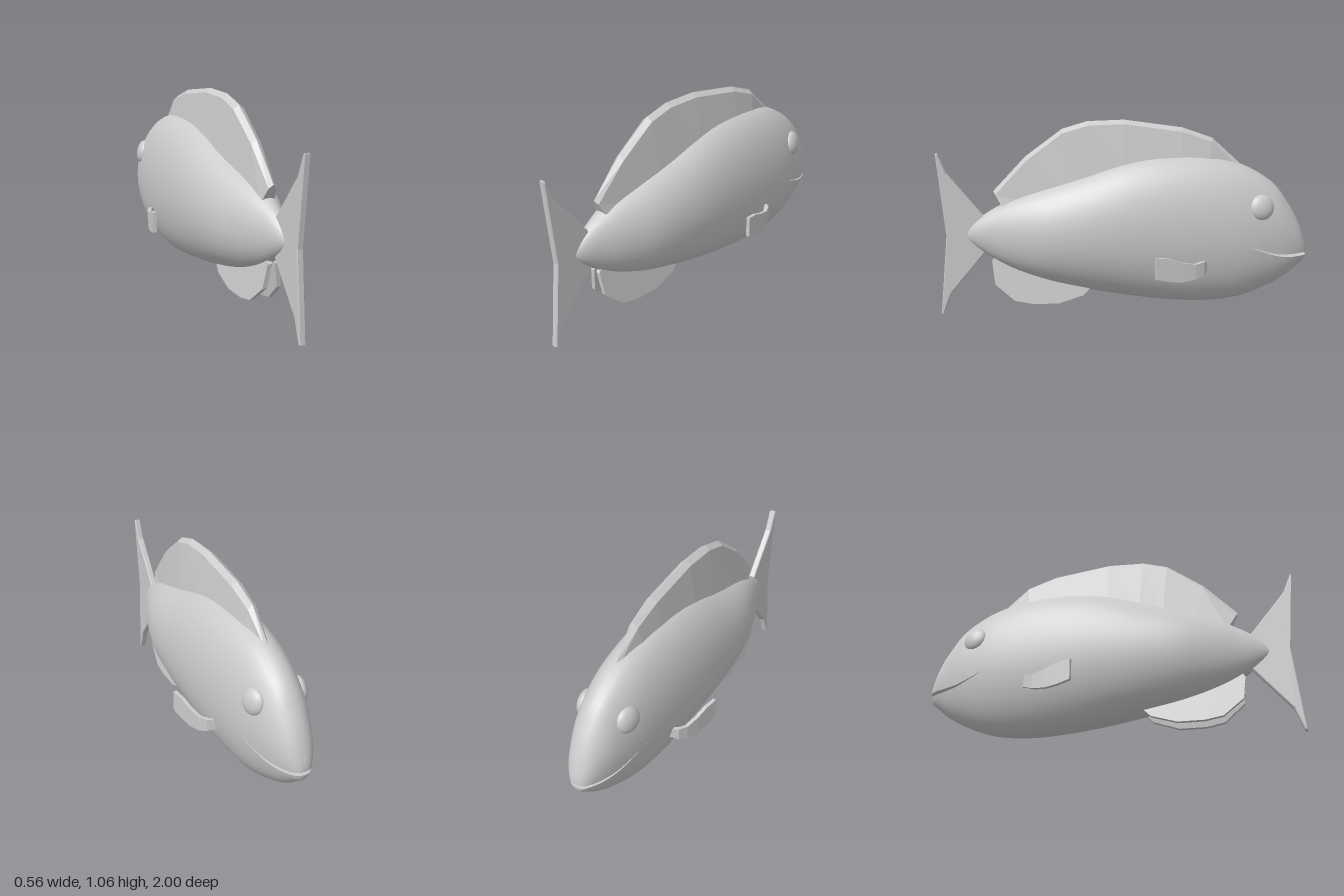
import * as THREE from 'three';
import { mergeGeometries, toCreasedNormals } from 'three/addons/utils/BufferGeometryUtils.js';

const smooth = new THREE.MeshStandardMaterial({ color: 0xcccccc });
const faceted = new THREE.MeshStandardMaterial({ color: 0xcccccc, flatShading: true });

// Skin closed rings (counter-clockwise seen from +z, ordered by rising z), with end caps.
function loft(rings) {
  const n = rings[0].length, last = (rings.length - 1) * n, index = [];
  for (let i = 0; i < rings.length - 1; i++) {
    for (let j = 0; j < n; j++) {
      const a = i * n + j, b = i * n + (j + 1) % n;
      index.push(a, b, b + n, a, b + n, a + n);
    }
  }
  for (let j = 1; j < n - 1; j++) {
    index.push(0, j + 1, j, last, last + j, last + j + 1);
  }
  const g = new THREE.BufferGeometry();
  g.setAttribute('position', new THREE.Float32BufferAttribute(rings.flat(2), 3));
  g.setIndex(index);
  g.computeVertexNormals();
  return g;
}

function mesh(name, geometry, material) {
  const m = new THREE.Mesh(geometry, material);
  m.name = name;
  return m;
}

// Body: elliptical sections split along the mouth line, which opens at the lips.
function bodyGeometry() {
  // z, top, bottom, half width, mouth line height, half mouth gap
  const stations = [
    [-0.998, 0.37, 0.315, 0.02, 0.337, 0.009],
    [-0.985, 0.42, 0.29, 0.045, 0.337, 0.009],
    [-0.95, 0.515, 0.26, 0.075, 0.337, 0.009],
    [-0.89, 0.62, 0.21, 0.105, 0.338, 0.008],
    [-0.8, 0.73, 0.158, 0.135, 0.352, 0.005],
    [-0.63, 0.828, 0.092, 0.172, 0.41, 0],
    [-0.42, 0.875, 0.07, 0.194, 0.45, 0],
    [-0.2, 0.88, 0.083, 0.206, 0.47, 0],
    [0, 0.85, 0.11, 0.209, 0.47, 0],
    [0.2, 0.785, 0.147, 0.203, 0.46, 0],
    [0.4, 0.72, 0.193, 0.18, 0.455, 0],
    [0.57, 0.66, 0.25, 0.13, 0.45, 0],
    [0.7, 0.595, 0.315, 0.08, 0.45, 0],
    [0.79, 0.535, 0.378, 0.045, 0.45, 0],
    [0.86, 0.465, 0.435, 0.01, 0.45, 0],
  ];
  const curve = (k) => new THREE.CatmullRomCurve3(
    stations.map((s) => new THREE.Vector3(s[k], s[k + 1], s[k + 2])), false, 'catmullrom', 0.5);
  const outline = curve(0), detail = curve(3);
  const upper = [], lower = [], steps = 56, arc = 18;
  for (let i = 0; i <= steps; i++) {
    const { x: z, y: top, z: bottom } = outline.getPoint(i / steps);
    const { x: w, y: seam, z: rawGap } = detail.getPoint(i / steps);
    const gap = Math.max(rawGap, 0), c = (top + bottom) / 2, h = (top - bottom) / 2;
    const angle = (y) => Math.asin(THREE.MathUtils.clamp((y - c) / h, -0.98, 0.98));
    const sweep = (from, to) => Array.from({ length: arc + 1 }, (_, j) => {
      const t = from + (to - from) * j / arc;
      return [w * Math.cos(t), c + h * Math.sin(t), z];
    });
    const a = angle(seam + gap), b = angle(seam - gap);
    upper.push(sweep(a, Math.PI - a));
    lower.push(sweep(Math.PI - b, 2 * Math.PI + b));
  }
  return toCreasedNormals(mergeGeometries([loft(upper), loft(lower)]), 0.7);
}

// Dorsal fin: wide at the root, narrowing to a bevelled crest.
function dorsalGeometry() {
  // crest z, crest y, root z, root y, root half width, crest half width
  const stations = [
    [-0.62, 0.835, -0.61, 0.75, 0.02, 0.012],
    [-0.47, 0.97, -0.45, 0.8, 0.05, 0.025],
    [-0.31, 1.025, -0.3, 0.8, 0.06, 0.03],
    [0, 1.067, 0, 0.78, 0.068, 0.03],
    [0.195, 1.06, 0.17, 0.72, 0.068, 0.03],
    [0.33, 1.02, 0.3, 0.68, 0.064, 0.03],
    [0.527, 0.874, 0.46, 0.62, 0.052, 0.027],
    [0.7, 0.69, 0.64, 0.585, 0.04, 0.02],
  ];
  return loft(stations.map(([z, y, rz, ry, rw, w]) => {
    const k = 0.022 / Math.hypot(rz - z, ry - y);
    const sz = z + (rz - z) * k, sy = y + (ry - y) * k;
    return [[rw, ry, rz], [w, sy, sz], [0, y, z], [-w, sy, sz], [-rw, ry, rz]];
  }));
}

// Flat fin from a (z, y) outline, centred on x = 0.
function plateGeometry(points, thickness, bevel) {
  const shape = new THREE.Shape(points.map(([z, y]) => new THREE.Vector2(-z, y)));
  const g = new THREE.ExtrudeGeometry(shape, {
    depth: thickness - 2 * bevel, bevelEnabled: bevel > 0,
    bevelThickness: bevel, bevelSize: bevel, bevelOffset: -bevel, bevelSegments: 1,
  });
  g.translate(0, 0, bevel - thickness / 2);
  return g.rotateY(Math.PI / 2);
}

// Pectoral fin: a thin curved blade sweeping back from the flank.
function pectoralGeometry(side) {
  // x, z, top, bottom
  const stations = [
    [0.165, -0.425, 0.335, 0.285],
    [0.205, -0.405, 0.338, 0.27],
    [0.226, -0.36, 0.33, 0.25],
    [0.244, -0.29, 0.345, 0.24],
    [0.258, -0.22, 0.37, 0.248],
    [0.272, -0.15, 0.378, 0.265],
  ];
  return loft(stations.map(([x, z, top, bottom], i) => {
    const p = stations[Math.max(i - 1, 0)], q = stations[Math.min(i + 1, stations.length - 1)];
    const l = 0.01 / Math.hypot(q[0] - p[0], q[1] - p[1]);
    const nx = (q[1] - p[1]) * l, nz = -(q[0] - p[0]) * l;
    const ring = [
      [x + nx, bottom, z + nz], [x + nx, top, z + nz],
      [x - nx, top, z - nz], [x - nx, bottom, z - nz],
    ].map(([px, py, pz]) => [px * side, py, pz]);
    return side < 0 ? ring.reverse() : ring;
  }));
}

// Lower rear fin: a plate splayed outwards towards its lower edge.
function analGeometry(side) {
  const g = plateGeometry([
    [0.65, 0.4], [0.715, 0.31], [0.7, 0.185], [0.595, 0.095], [0.5, 0.077],
    [0.36, 0.077], [0.225, 0.12], [0.19, 0.155], [0.25, 0.25],
  ], 0.024, 0);
  const p = g.attributes.position;
  for (let i = 0; i < p.count; i++) {
    p.setX(i, p.getX(i) + side * (0.02 + (0.31 - p.getY(i)) * 0.15));
  }
  g.computeVertexNormals();
  return g;
}

export function createModel() {
  const fish = new THREE.Group();
  fish.name = 'fish';
  fish.add(mesh('body', bodyGeometry(), smooth));
  fish.add(mesh('dorsalFin', dorsalGeometry(), faceted));

  // Forked tail
  fish.add(mesh('tailFin', plateGeometry([
    [0.7, 0.45], [0.745, 0.54], [0.945, 0.785], [0.988, 0.89], [1, 0.89],
    [0.957, 0.45], [1, 0.008], [0.988, 0.008], [0.945, 0.125], [0.74, 0.37],
  ], 0.036, 0.005), faceted));

  for (const side of [1, -1]) {
    const label = side > 0 ? 'left' : 'right';
    fish.add(mesh(label + 'PectoralFin', pectoralGeometry(side), faceted));
    fish.add(mesh(label + 'AnalFin', analGeometry(side), faceted));

    // Bulging eye, turned to follow the cheek
    const eye = mesh(label + 'Eye', new THREE.SphereGeometry(1, 24, 16), smooth);
    eye.scale.set(0.035, 0.068, 0.068);
    eye.position.set(side * 0.126, 0.61, -0.725);
    eye.rotation.set(0, side * 0.25, side * 0.2);
    fish.add(eye);
  }
  return fish;
}
